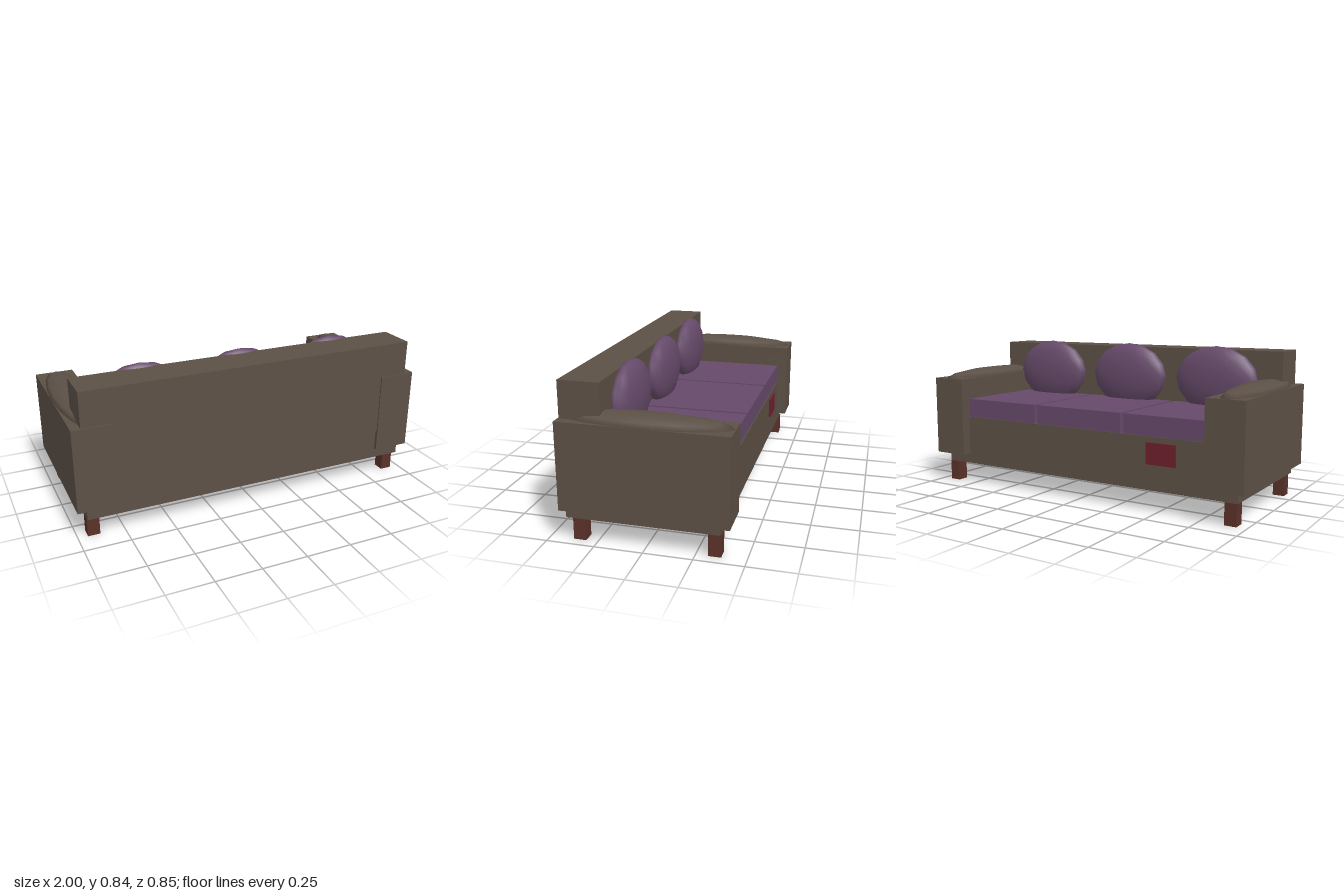
import * as THREE from 'three';

const fabric = new THREE.MeshStandardMaterial({ color: 0x5c5046 });
const purple = new THREE.MeshStandardMaterial({ color: 0x664a6a });
const wood = new THREE.MeshStandardMaterial({ color: 0x5a3229 });
const red = new THREE.MeshStandardMaterial({ color: 0x6e1f2e });

export function createModel() {
  const sofa = new THREE.Group();
  sofa.name = 'sofa';

  const add = (name, geometry, material, x, y, z) => {
    const mesh = new THREE.Mesh(geometry, material);
    mesh.name = name;
    mesh.position.set(x, y, z);
    sofa.add(mesh);
    return mesh;
  };

  // Box given by its lower and upper limits on each axis
  const box = (name, material, [x0, x1], [y0, y1], [z0, z1]) =>
    add(name, new THREE.BoxGeometry(x1 - x0, y1 - y0, z1 - z0), material,
      (x0 + x1) / 2, (y0 + y1) / 2, (z0 + z1) / 2);

  // Smooth ellipsoid pad
  const pad = (name, material, rings, [x, y, z], [rx, ry, rz]) =>
    add(name, new THREE.SphereGeometry(1, 16, rings), material, x, y, z).scale.set(rx, ry, rz);

  // Base and backrest (the seat opens towards -z)
  box('base', fabric, [-0.95, 0.95], [0.116, 0.4], [-0.37, 0.41]);
  box('backrest', fabric, [-0.95, 0.95], [0.29, 0.82], [0.21, 0.42]);

  // Arms with padded tops, and legs
  for (const [side, s] of [['left', 1], ['right', -1]]) {
    const arm = [0.79 * s, s].sort((a, b) => a - b);
    box(side + 'Arm', fabric, arm, [0.173, 0.63], [-0.427, 0.427]);
    pad(side + 'ArmPad', fabric, 6, [0.895 * s, 0.63, 0], [0.105, 0.046, 0.427]);
    for (const z of [-0.343, 0.343]) {
      add(side + 'Leg', new THREE.BoxGeometry(0.065, 0.116, 0.065), wood, 0.914 * s, 0.058, z);
    }
  }

  // Three seat cushions, each with a rounded pillow
  for (const x of [-0.57, 0, 0.57]) {
    box('seatCushion', purple, [x - 0.275, x + 0.275], [0.4, 0.508], [-0.364, 0.215]);
    pad('backPillow', purple, 8, [x, 0.65, 0.191], [0.25, 0.19, 0.075]);
  }

  // Small patch on the front of the base
  box('frontPatch', red, [-0.61, -0.44], [0.255, 0.37], [-0.38, -0.365]);

  return sofa;
}
